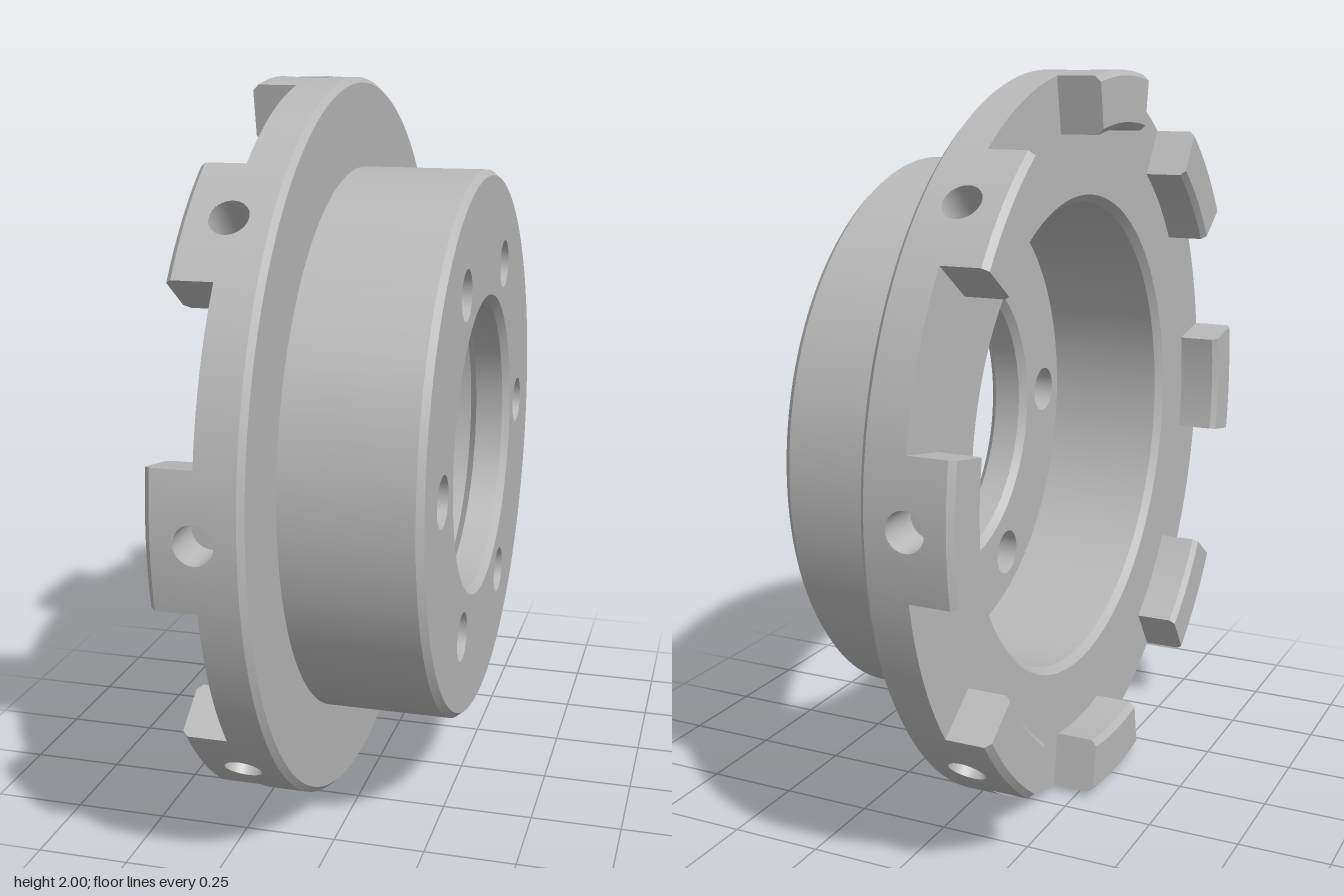
import * as THREE from 'three';
import { mergeGeometries } from 'three/addons/utils/BufferGeometryUtils.js';

const DEG = Math.PI / 180;
const HALF = 10 * DEG;            // half the angular width of a lug
const STEP = 45 * DEG;            // lug spacing
const BACK = -0.18, RIM_END = -0.075, HOLE = 0.05;

// Turned surface with a crisp edge between profile segments; points are [radius, axial]
function turned(points, segments = 144, start = 0, length = Math.PI * 2) {
  const parts = [];
  for (let i = 0; i < points.length - 1; i++) {
    const pair = [points[i], points[i + 1]].map(([r, a]) => new THREE.Vector2(r, a));
    parts.push(new THREE.LatheGeometry(pair, segments, start, length));
  }
  return mergeGeometries(parts);
}

// Drilled end plate of the hub
function endPlate() {
  const shape = new THREE.Shape().absarc(0, 0, 0.745, 0, Math.PI * 2);
  shape.holes.push(new THREE.Path().absarc(0, 0, 0.42, 0, Math.PI * 2, true));
  for (let i = 0; i < 6; i++) {
    const a = 90 * DEG + i * 60 * DEG;
    shape.holes.push(new THREE.Path().absarc(0.542 * Math.cos(a), 0.542 * Math.sin(a), 0.068, 0, Math.PI * 2, true));
  }
  return new THREE.ExtrudeGeometry(shape, { depth: 0.12, bevelEnabled: false, curveSegments: 72 })
    .rotateX(-Math.PI / 2).translate(0, 0.18, 0);
}

// Outer face of a lug: flat sheet with a round hole, bent onto the rim
function lugRim() {
  const pts = [], n = 8;
  for (let i = 0; i <= n; i++) pts.push(new THREE.Vector2(-HALF + 2 * HALF * i / n, -0.285));
  for (let i = n; i >= 0; i--) pts.push(new THREE.Vector2(-HALF + 2 * HALF * i / n, RIM_END));
  const shape = new THREE.Shape(pts);
  shape.holes.push(new THREE.Path().absarc(0, BACK, HOLE, 0, Math.PI * 2, true));
  const geo = new THREE.ShapeGeometry(shape, 32);
  const p = geo.attributes.position, nor = geo.attributes.normal;
  for (let i = 0; i < p.count; i++) {
    const u = p.getX(i);
    p.setXYZ(i, Math.sin(u), p.getY(i), Math.cos(u));
    nor.setXYZ(i, Math.sin(u), 0, Math.cos(u));
  }
  return geo;
}

// Flat end of a lug, facing away from its middle
function lugSide(profile, sign) {
  const shape = new THREE.Shape(profile.map(([r, a]) => new THREE.Vector2(-sign * r, a)));
  return new THREE.ShapeGeometry(shape).rotateY(sign * (HALF + Math.PI / 2));
}

export function createModel() {
  const steel = new THREE.MeshStandardMaterial({ color: 0xb8b8b8 });
  const model = new THREE.Group();
  model.name = 'lockRing';
  const body = new THREE.Group();
  body.name = 'turnedBody';
  body.rotation.z = -Math.PI / 2;   // turning axis lies along x
  body.position.y = 1;
  model.add(body);

  const add = (parent, name, geo) => {
    const mesh = new THREE.Mesh(geo, steel);
    mesh.name = name;
    parent.add(mesh);
  };

  // Flange, hub and bores
  add(body, 'flangeBack', turned([[0.67, BACK], [0.85, BACK]]));
  add(body, 'flangeFront', turned([[1, RIM_END], [0.985, -0.06], [0.76, -0.06]]));
  add(body, 'hubWall', turned([[0.76, -0.06], [0.76, 0.282], [0.745, 0.3]]));
  add(body, 'hubBore', turned([[0.42, 0.3], [0.4, 0.28], [0.4, 0.2], [0.42, 0.18]]));
  add(body, 'cavityWall', turned([[0.65, 0.18], [0.65, -0.16], [0.67, BACK]]));
  add(body, 'hubEndPlate', endPlate());

  // Lugs with blind radial holes, and the bare flange between them
  const profile = [[0.85, BACK], [0.85, -0.285], [0.865, -0.3], [0.985, -0.3], [1, -0.285]];
  const lugGeo = turned(profile, 8, -HALF, 2 * HALF);
  const rimGeo = lugRim();
  const outline = [...profile, [1, BACK]];
  const sides = mergeGeometries([lugSide(outline, -1), lugSide(outline, 1)]);
  const holeGeo = turned([[HOLE, 0.999], [HOLE, 0.88], [0, 0.88]], 32)
    .rotateX(Math.PI / 2).translate(0, BACK, 0);
  const gapGeo = turned([[0.85, BACK], [1, BACK], [1, RIM_END]], 10, HALF, STEP - 2 * HALF);

  for (let k = 0; k < 8; k++) {
    const lug = new THREE.Group();
    lug.name = `lug${k + 1}`;
    lug.rotation.y = k * STEP;
    add(lug, 'lugFaces', lugGeo);
    add(lug, 'lugRim', rimGeo);
    add(lug, 'lugSides', sides);
    add(lug, 'radialHole', holeGeo);
    add(lug, 'flangeGap', gapGeo);
    body.add(lug);
  }
  return model;
}
